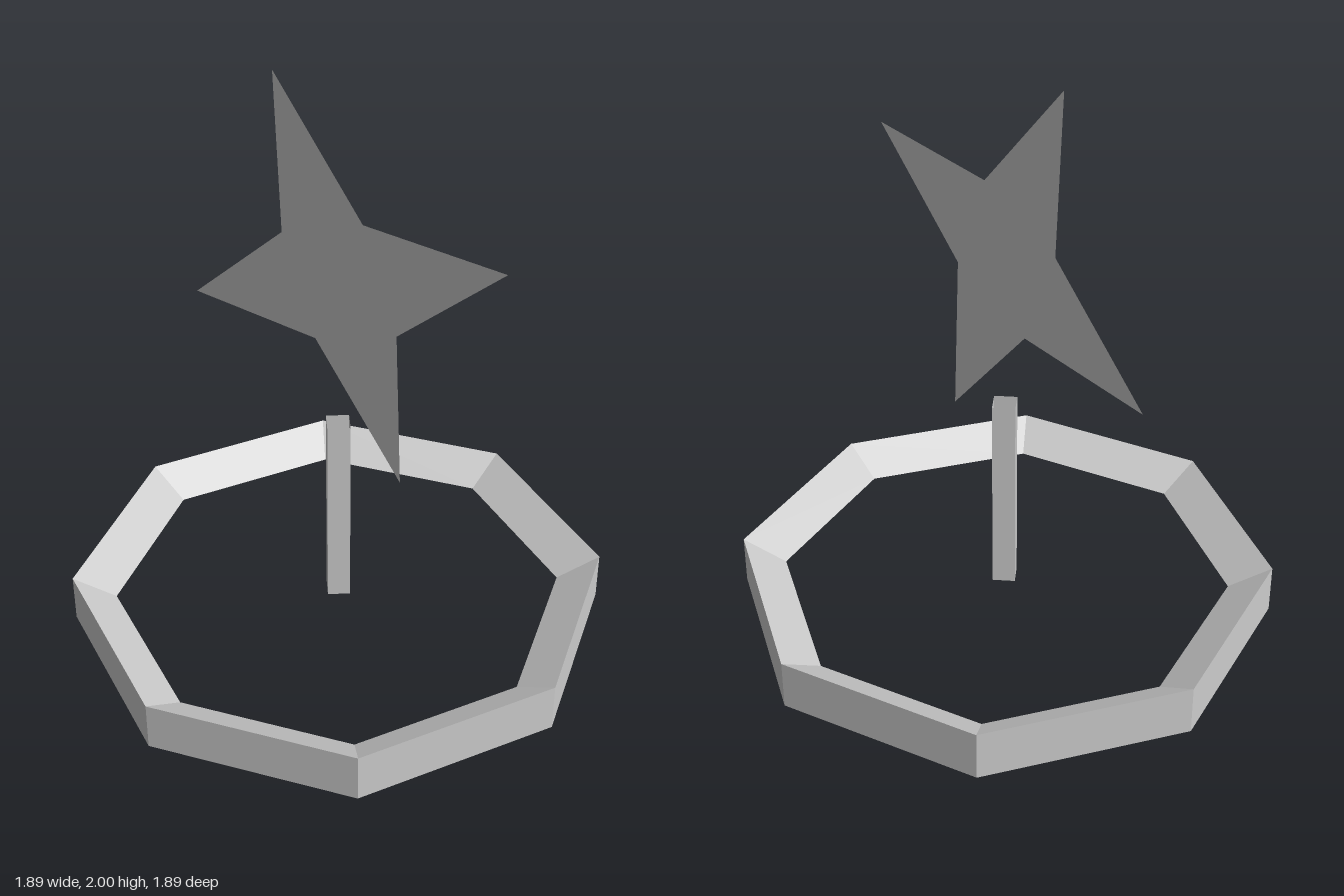
import * as THREE from 'three';

export function createModel() {
  const model = new THREE.Group();
  const grey = new THREE.MeshStandardMaterial({
    name: 'lightGrey', color: 0xcccccc, flatShading: true, side: THREE.DoubleSide,
  });

  function add(name, geometry, y = 0) {
    const mesh = new THREE.Mesh(geometry, grey);
    mesh.name = name;
    mesh.position.y = y;
    model.add(mesh);
  }

  // Eight-sided ring with a triangular section: upright outside, edge pointing inward
  const outer = 0.945, inner = 0.795, height = 0.175;
  const section = [[outer, 0], [outer, height], [inner, height / 2], [outer, 0]]
    .map(([r, y]) => new THREE.Vector2(r, y));
  add('baseRing', new THREE.LatheGeometry(section, 8));

  // Open square post standing on its corner line
  const bottom = height / 2, top = 0.805;
  add('post', new THREE.CylinderGeometry(0.056, 0.056, top - bottom, 4, 1, true), (top + bottom) / 2);

  // Flat four-pointed star floating above the post
  const tips = [];
  for (let i = 0; i < 8; i++) {
    const r = i % 2 ? 0.266 : 0.714;
    const a = Math.PI / 8 + i * Math.PI / 4;
    tips.push(new THREE.Vector2(r * Math.cos(a), r * Math.sin(a)));
  }
  add('star', new THREE.ShapeGeometry(new THREE.Shape(tips)), 1.341);

  return model;
}
